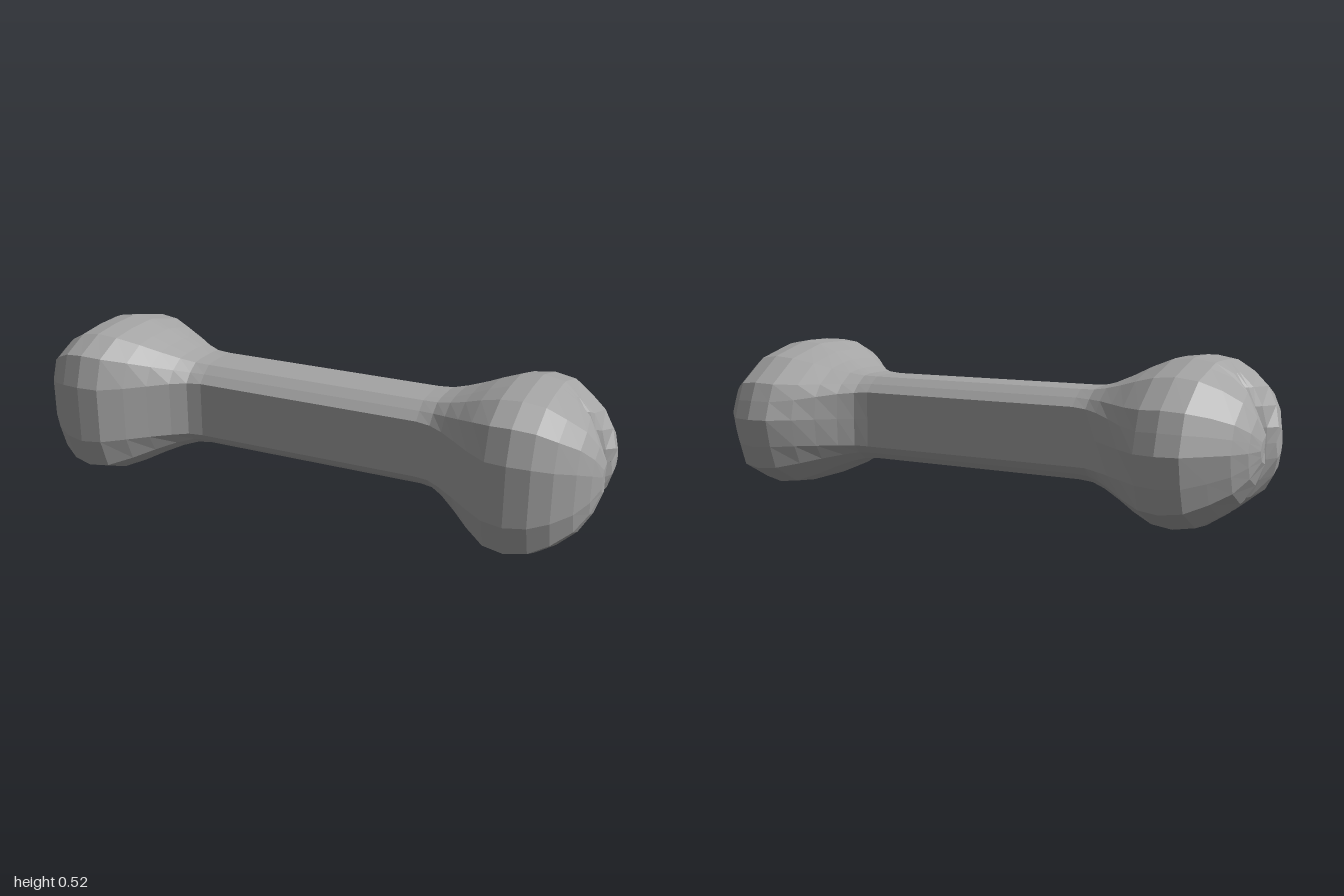
import * as THREE from 'three';

const CENTRE_Y = 0.262;
const CAP_X = 0.86; // beyond this the groove begins

// Half of the bone, middle to tip: [x, half depth, half height, lobe amount 0..1]
const HALF = [
  [0.4, 0.135, 0.151, 0], [0.45, 0.146, 0.155, 0.1], [0.5, 0.18, 0.17, 0.3],
  [0.56, 0.232, 0.196, 0.6], [0.62, 0.287, 0.226, 0.85], [0.69, 0.342, 0.254, 1],
  [0.76, 0.355, 0.262, 1], [0.83, 0.34, 0.25, 1], [0.89, 0.293, 0.216, 1],
  [0.945, 0.238, 0.172, 1], [0.98, 0.18, 0.115, 1], [1.0, 0.12, 0.05, 1], [1.0, 0.1, 0, 1],
];

// Quarter outlines from the side to the middle: [depth fraction, height fraction]
const SHAFT = [[1, 0], [1, 0.64], [0.8, 0.82], [0.54, 0.98], [0.3, 1], [0.1, 1]];
const FRONT = [[1, 0], [1, 0.38], [0.9, 0.78], [0.6, 0.965], [0.3, 1], [0.1, 1]];
const BACK_UPPER = [[1, 0], [0.94, 0.25], [0.87, 0.49], [0.54, 0.82], [0.22, 0.94], [0.08, 0.99]];
const BACK_LOWER = [[1, 0], [0.94, 0.38], [0.86, 0.69], [0.52, 0.95], [0.22, 1], [0.08, 1]];
const GROOVE_Z = { 4: 0.03, 5: 0.012 }; // columns that follow the groove on the caps

// One closed cross-section: flat in front, rounder behind on the lobes,
// with a groove at the tip that splits it into two knuckles
function section([x, w, h, lobe], side) {
  const inCap = x > CAP_X;
  const point = (z, y) => {
    const groove = Math.max(0, x - CAP_X) * 0.42 * Math.max(0, 1 - Math.abs(z) / 0.07) ** 1.5;
    return [side * (x - groove), CENTRE_Y + y, z + (inCap ? 0.012 : 0)];
  };
  const quarter = (profile, signZ, signY) => profile.map(([t, v], k) => {
    const depth = inCap && k in GROOVE_Z ? GROOVE_Z[k] : w * THREE.MathUtils.lerp(SHAFT[k][0], t, lobe);
    return point(signZ * depth, signY * h * THREE.MathUtils.lerp(SHAFT[k][1], v, lobe));
  });
  return [
    ...quarter(FRONT, 1, 1), point(0, h), ...quarter(BACK_UPPER, -1, 1).reverse(),
    ...quarter(BACK_LOWER, -1, -1).slice(1), point(0, -h), ...quarter(FRONT, 1, -1).slice(1).reverse(),
  ];
}

// Skin stretched over the cross-sections from one tip to the other
function boneGeometry() {
  const rings = [
    ...HALF.slice().reverse().map((r) => section(r, -1)),
    ...HALF.map((r) => section(r, 1)),
  ];
  const count = rings[0].length;
  const index = [];
  for (let i = 0; i < rings.length - 1; i++) {
    for (let j = 0; j < count; j++) {
      const a = i * count + j, b = i * count + (j + 1) % count;
      index.push(a, a + count, b, b, a + count, b + count);
    }
  }
  const geometry = new THREE.BufferGeometry();
  geometry.setAttribute('position', new THREE.Float32BufferAttribute(rings.flat(2), 3));
  geometry.setIndex(index);
  geometry.computeVertexNormals();
  return geometry;
}

export function createModel() {
  const group = new THREE.Group();
  group.name = 'dogBone';
  const material = new THREE.MeshStandardMaterial({ color: 0xa4a4a4, flatShading: true });
  const bone = new THREE.Mesh(boneGeometry(), material);
  bone.name = 'bone';
  group.add(bone);
  return group;
}
